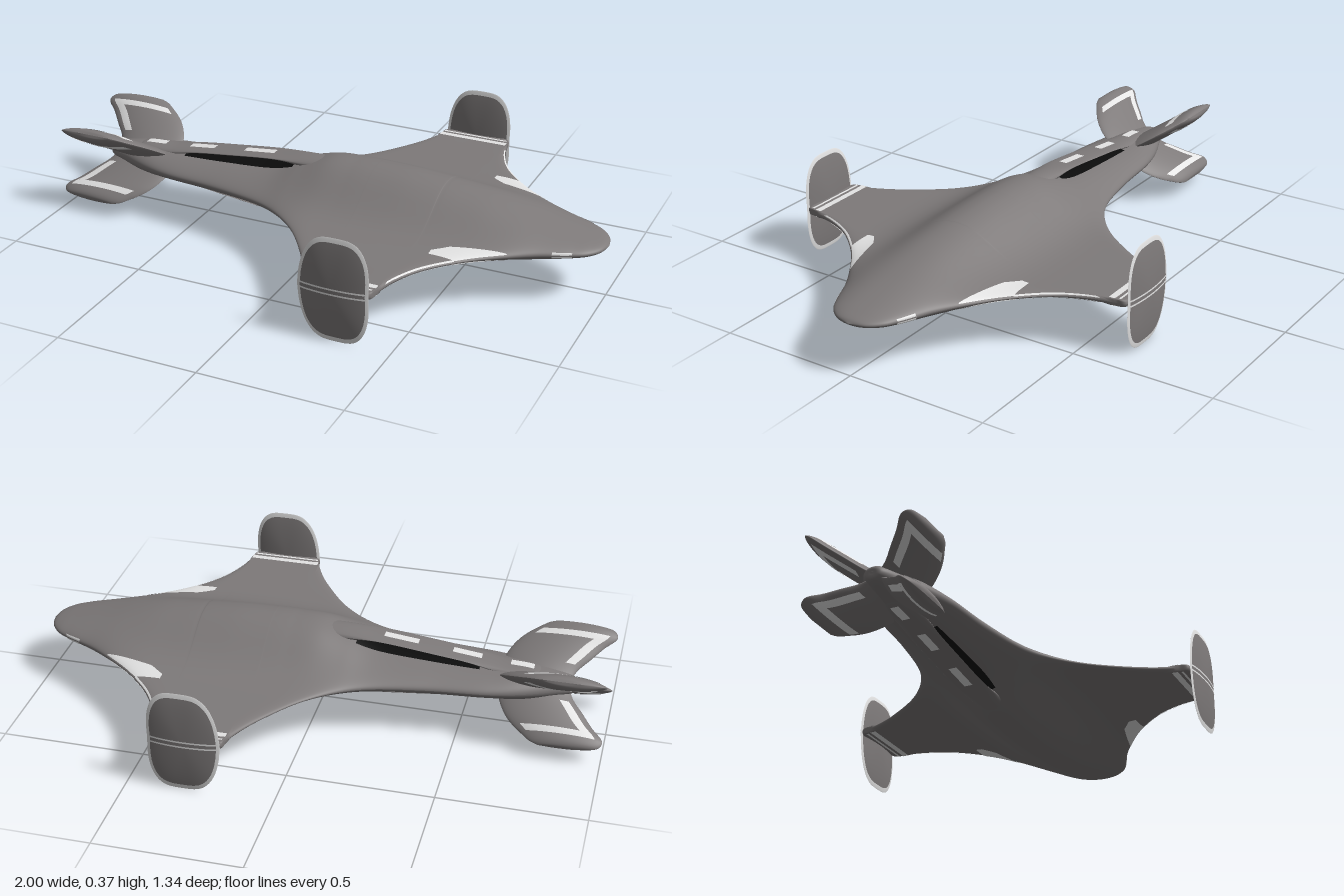
import * as THREE from 'three';

const CY = 0.183; // height of the centre line
const mat = (name, color) => Object.assign(new THREE.MeshStandardMaterial({ color, side: THREE.DoubleSide }), { name });
const lerp = THREE.MathUtils.lerp;

// Smooth surface from f(u, v) -> [x, y, z]
function grid(f, nu, nv) {
  const pos = [], idx = [];
  for (let i = 0; i <= nu; i++) for (let j = 0; j <= nv; j++) pos.push(...f(i / nu, j / nv));
  for (let i = 0; i < nu; i++) for (let j = 0; j < nv; j++) {
    const a = i * (nv + 1) + j, b = a + nv + 1;
    idx.push(a, b, a + 1, b, b + 1, a + 1);
  }
  const g = new THREE.BufferGeometry();
  g.setAttribute('position', new THREE.Float32BufferAttribute(pos, 3));
  g.setIndex(idx);
  g.computeVertexNormals();
  return g;
}

const spline = rows => new THREE.CatmullRomCurve3(rows.map(r => new THREE.Vector3(...r)), false, 'centripetal');

// Sample a curve at a given x (x falls along the curve)
function at(curve, x) {
  let lo = 0, hi = 1;
  for (let i = 0; i < 22; i++) {
    const m = (lo + hi) / 2;
    if (curve.getPoint(m).x > x) lo = m; else hi = m;
  }
  return curve.getPoint(lo);
}

// Hull stations: x, half height, half width (nose to tail)
const hull = spline([
  [1, 0, 0], [0.985, 0.012, 0.055], [0.95, 0.022, 0.098], [0.9, 0.033, 0.127], [0.8, 0.055, 0.172],
  [0.7, 0.078, 0.235], [0.6, 0.098, 0.312], [0.5, 0.112, 0.425], [0.45, 0.118, 0.53], [0.43, 0.12, 0.61],
  [0.42, 0.122, 0.645], [0.3, 0.133, 0.647], [0.18, 0.137, 0.645], [0.17, 0.137, 0.61], [0.14, 0.137, 0.54],
  [0.1, 0.136, 0.47], [0, 0.13, 0.335], [-0.1, 0.102, 0.25], [-0.2, 0.073, 0.2], [-0.4, 0.057, 0.158],
  [-0.6, 0.05, 0.135], [-0.7, 0.05, 0.11], [-0.8, 0.042, 0.07], [-0.88, 0.022, 0.03], [-0.885, 0, 0],
]);

// Half thickness of the hull: bell-shaped fuselage blending into a thin wing
function thickness(z, H, W) {
  z = Math.abs(z);
  if (W < 1e-4 || z >= W) return 0;
  const base = Math.min(0.011, Math.abs(H));
  const bell = Math.exp(-Math.pow(z / 0.175, 2.3));
  const flare = W > 0.6 ? 0.02 * Math.exp(-(W - z) / 0.012) : 0;
  const k = 2 + 28 * (W / 0.65) ** 2;
  return (base + (H - base) * bell + flare) * Math.sqrt(1 - Math.pow(z / W, k));
}

// Raised spine stations: x, top, bottom
const spine = spline([
  [0.02, 0.124, 0.07], [-0.1, 0.118, 0.082], [-0.2, 0.107, 0.094], [-0.4, 0.085, 0.074],
  [-0.52, 0.071, 0.058], [-0.62, 0.06, 0.03], [-0.75, 0.05, 0.01], [-0.8, 0.03, 0.01],
]);

// Tail fin stations: span, leading x, trailing x
const finRows = spline([
  [0, -0.62, -0.86], [0.05, -0.625, -0.88], [0.1, -0.64, -0.92], [0.15, -0.67, -0.96], [0.185, -0.705, -0.995],
  [0.2, -0.725, -1], [0.222, -0.755, -0.985], [0.236, -0.79, -0.91],
]);
function finPoint(p, c, side, lift = 0) {
  const t = 0.026 * Math.sqrt(Math.max(0, 1 - Math.pow(p.x / 0.236, 14))) * Math.pow(Math.max(0, 1 - c * c), 0.7);
  return [(p.y + p.z) / 2 + c * (p.y - p.z) / 2, p.x, side * (t + lift)];
}

// Wing-tip plate: rounded outline scaled by rho, lens thickness
function platePoint(rho, phi, side) {
  const pw = v => Math.sign(v) * Math.pow(Math.abs(v), 0.55);
  const Y = pw(Math.sin(phi)) * rho, X = pw(Math.cos(phi)) * rho;
  return [0.3 + 0.012 * Math.abs(Y) + 0.123 * X * (1 - 0.18 * Y * Y), Y * 0.183,
    side * 0.015 * Math.pow(Math.max(0, 1 - rho * rho), 0.8)];
}

export function createModel() {
  const grey = mat('hull grey', 0x7e7a7a);
  const white = mat('marking white', 0xe4e4e4);
  const black = mat('slot black', 0x0c0c0c);
  const root = new THREE.Group();
  root.name = 'spacecraft';
  const craft = new THREE.Group();
  craft.name = 'craft';
  craft.position.y = CY;
  root.add(craft);
  const add = (parent, name, geo, m) => {
    const mesh = new THREE.Mesh(geo, m);
    mesh.name = name;
    parent.add(mesh);
    return mesh;
  };

  // Blended fuselage and wing
  add(craft, 'hull', grid((u, v) => {
    const p = hull.getPoint(u), a = v * Math.PI * 2;
    const W = Math.max(0, p.z), z = -W * Math.cos(a);
    const h = thickness(z, Math.max(0, p.y), W);
    return [p.x, (Math.sin(a) >= 0 ? 1 : -1) * h, z];
  }, 216, 96), grey);

  // Panel lying on the hull between x0..x1 and zIn(x)..zOut(x)
  const panel = (name, x0, x1, zIn, zOut, up, m, n = 16) => add(craft, name, grid((u, v) => {
    const x = lerp(x0, x1, u), p = at(hull, x);
    const z = lerp(zIn(x, p.z), zOut(x, p.z), v);
    return [x, up * (thickness(z, p.y, p.z) + 0.0022), z];
  }, n, 8), m);

  for (const up of [1, -1]) {
    // Raised spine above the open slot
    add(craft, 'spine', grid((u, v) => {
      const p = spine.getPoint(u), a = v * Math.PI * 2;
      const mid = (p.y + p.z) / 2, half = (p.y - p.z) / 2;
      return [p.x, up * (mid + half * Math.sin(a)), -up * 0.05 * Math.cos(a)];
    }, 60, 24), grey);
    panel('slot lining', -0.13, -0.56, () => -0.057, () => 0.057, up, black);

    // Dashes along the spine
    for (const [x0, x1] of [[-0.74, -0.66], [-0.56, -0.46], [-0.34, -0.22]])
      add(craft, 'spine dash', grid((u, v) => {
        const x = lerp(x0, x1, u), p = at(spine, x);
        return [x, up * (Math.max(p.y, at(hull, x).y) + 0.002), lerp(-0.015, 0.015, v)];
      }, 6, 2), white);

    // Wing and nose markings
    for (const s of [1, -1]) {
      panel('wing patch', 0.49, 0.72,
        x => s * (x < 0.54 ? lerp(0.3, 0.262, (x - 0.49) / 0.05) : lerp(0.262, 0.215, (x - 0.54) / 0.18)),
        (x, W) => s * Math.min(0.326, W * 0.985), up, white, 24);
      panel('leading edge stripe', 0.44, 0.58, (x, W) => s * W * 0.965, (x, W) => s * W * 0.992, up, white);
      panel('wing band', 0.172, 0.428, () => s * 0.585, () => s * 0.607, up, white);
      panel('wing tip line', 0.178, 0.422, () => s * 0.618, () => s * 0.626, up, white);
      panel('nose marker', 0.85, 0.91, (x, W) => s * W * 0.97, (x, W) => s * W, up, white);
    }
  }

  // Wing-tip plates with pale rims and a double centre line
  for (const s of [1, -1]) {
    const plate = new THREE.Group();
    plate.name = s > 0 ? 'frontTipPlate' : 'rearTipPlate';
    plate.position.z = s * 0.651;
    craft.add(plate);
    for (const side of [1, -1]) {
      const ring = (r0, r1) => grid((u, v) => platePoint(lerp(r0, r1, u), side * v * Math.PI * 2, side), 14, 64);
      add(plate, 'tip plate face', ring(0, 0.91), grey);
      add(plate, 'tip plate rim', ring(0.91, 1), white);
    }
    for (const y of [-0.009, 0.009])
      add(plate, 'tip plate line', grid((u, v) => {
        const k = lerp(-0.95, 0.95, u);
        return [0.3 + 0.123 * k, y + lerp(-0.003, 0.003, v), s * (0.015 * Math.pow(1 - k * k, 0.8) + 0.0015)];
      }, 24, 1), white);
  }

  // Four tail fins in an X, each with an angled marking on both faces
  const lean = 0.99;
  for (const a of [lean, -lean, Math.PI - lean, Math.PI + lean]) {
    const fin = new THREE.Group();
    fin.name = 'tailFin';
    fin.rotation.x = a;
    craft.add(fin);
    add(fin, 'tail fin blade', grid((u, v) => {
      const t = v * Math.PI * 2;
      return finPoint(finRows.getPoint(u), Math.cos(t), Math.sin(t) >= 0 ? 1 : -1);
    }, 48, 40), grey);
    // Span lookup for the markings
    const row = r => {
      let lo = 0, hi = 1;
      for (let i = 0; i < 22; i++) {
        const m = (lo + hi) / 2;
        if (finRows.getPoint(m).x < r) lo = m; else hi = m;
      }
      return finRows.getPoint(lo);
    };
    for (const side of [1, -1]) {
      const mark = (name, r0, r1, c0, c1) => add(fin, name,
        grid((u, v) => finPoint(row(lerp(r0, r1, u)), lerp(c0, c1, v), side, 0.0018), 12, 12), white);
      mark('fin tip stripe', 0.172, 0.194, -0.82, 0.8);
      mark('fin trailing stripe', 0.07, 0.172, -0.82, -0.58);
    }
  }
  return root;
}
